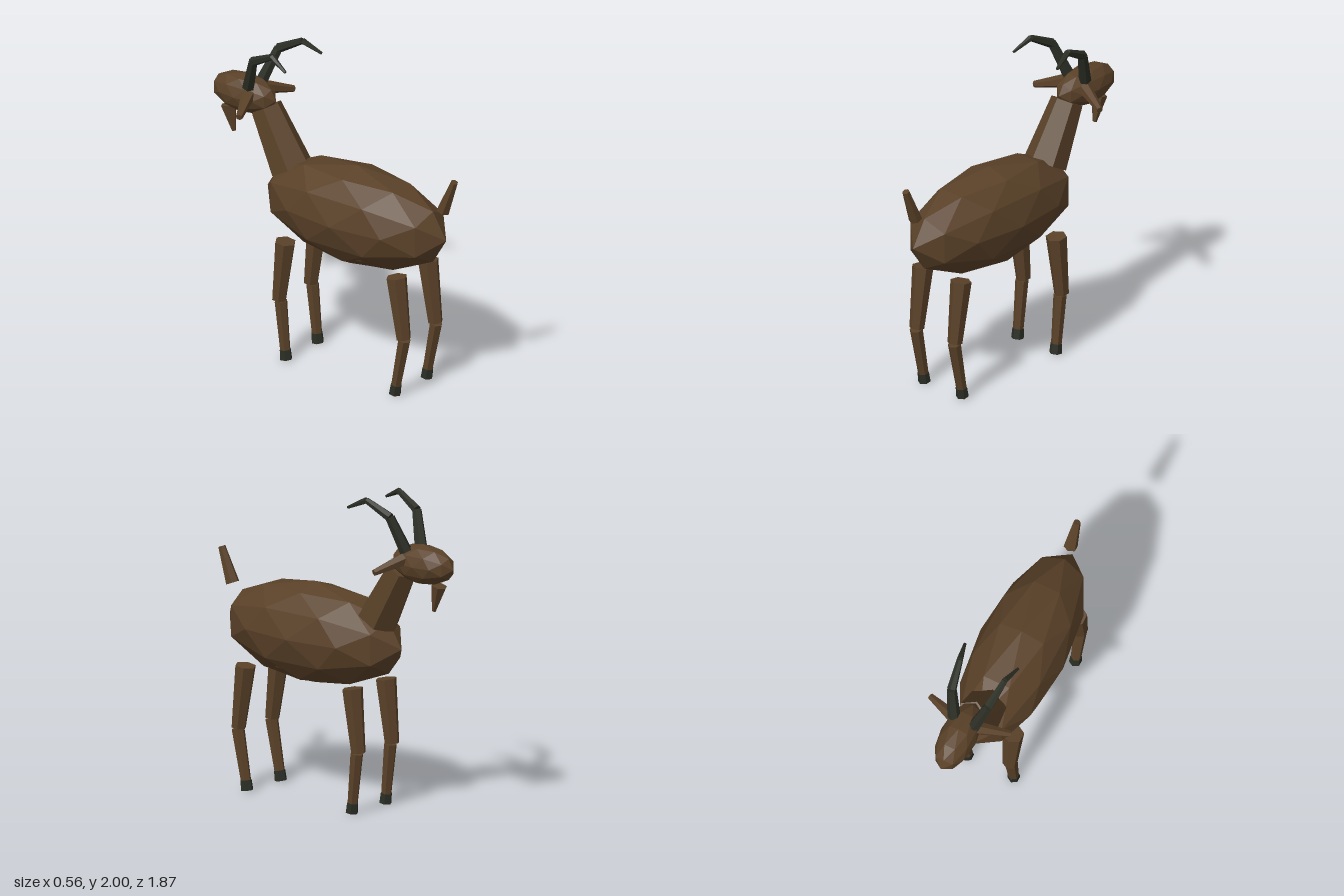
import * as THREE from 'three';

const mat = (name, hex) => {
  const m = new THREE.MeshStandardMaterial({ color: hex, flatShading: true });
  m.name = name;
  return m;
};

export function createModel() {
  const coat = mat('brown coat', 0x5a4128);
  const horn = mat('dark horn', 0x2b2e24);
  const goat = new THREE.Group();
  goat.name = 'goat';

  // Faceted ellipsoid
  const blob = (name, pos, radii) => {
    const mesh = new THREE.Mesh(new THREE.IcosahedronGeometry(1, 1).scale(...radii), coat);
    mesh.position.set(...pos);
    mesh.name = name;
    goat.add(mesh);
  };

  // Tapered prism running from point a (radius ra) to point b (radius rb)
  const limb = (name, a, b, ra, rb, material = coat, parent = goat) => {
    const from = new THREE.Vector3(...a);
    const to = new THREE.Vector3(...b);
    const dir = to.clone().sub(from);
    const mesh = new THREE.Mesh(new THREE.CylinderGeometry(rb, ra, dir.length(), 6), material);
    mesh.position.copy(from).add(to).multiplyScalar(0.5);
    mesh.quaternion.setFromUnitVectors(new THREE.Vector3(0, 1, 0), dir.normalize());
    mesh.name = name;
    parent.add(mesh);
  };

  // Trunk, with a belly that just breaks its underside
  blob('body', [0, 1.043, 0.165], [0.28, 0.317, 0.685]);
  blob('belly', [0, 0.92, 0.19], [0.22, 0.19, 0.43]);

  // Neck, head, beard and tail
  limb('neck', [0, 1.205, -0.335], [0, 1.555, -0.53], 0.135, 0.1);
  blob('head', [0, 1.61, -0.695], [0.115, 0.125, 0.237]);
  limb('beard', [0, 1.495, -0.82], [0, 1.33, -0.778], 0.05, 0.013);
  limb('tail', [0, 1.237, 0.827], [0, 1.452, 0.914], 0.043, 0.023);

  for (const [side, s] of [['left', 1], ['right', -1]]) {
    // Ear
    limb(`${side}Ear`, [s * 0.08, 1.64, -0.605], [s * 0.27, 1.58, -0.53], 0.043, 0.021);

    // Horn of three tapering segments, sweeping up and back
    const hornGroup = new THREE.Group();
    hornGroup.name = `${side}Horn`;
    const path = [[0.07, 1.69, -0.615], [0.125, 1.9, -0.535], [0.152, 1.985, -0.37], [0.18, 1.925, -0.245]];
    const radii = [0.04, 0.03, 0.02, 0.009];
    for (let i = 0; i < 3; i++) {
      const [a, b] = [path[i], path[i + 1]].map(([x, y, z]) => [s * x, y, z]);
      limb('hornSegment', a, b, radii[i], radii[i + 1], horn, hornGroup);
    }
    goat.add(hornGroup);

    // Legs: z of hip, knee, shin top, ankle and hoof sole
    const legs = [
      ['Front', -0.263, -0.31, -0.297, -0.264, -0.257],
      ['Hind', 0.59, 0.645, 0.65, 0.587, 0.577],
    ];
    for (const [end, hip, knee, shin, ankle, sole] of legs) {
      const leg = new THREE.Group();
      leg.name = `${side}${end}Leg`;
      const x = s * 0.157;
      limb('upperLeg', [x, 0.79, hip], [x, 0.393, knee], 0.066, 0.046, coat, leg);
      limb('lowerLeg', [x, 0.386, shin], [x, 0.07, ankle], 0.041, 0.033, coat, leg);
      limb('hoof', [x, 0.073, ankle], [x, 0.01, sole], 0.036, 0.039, horn, leg);
      goat.add(leg);
    }
  }
  return goat;
}
